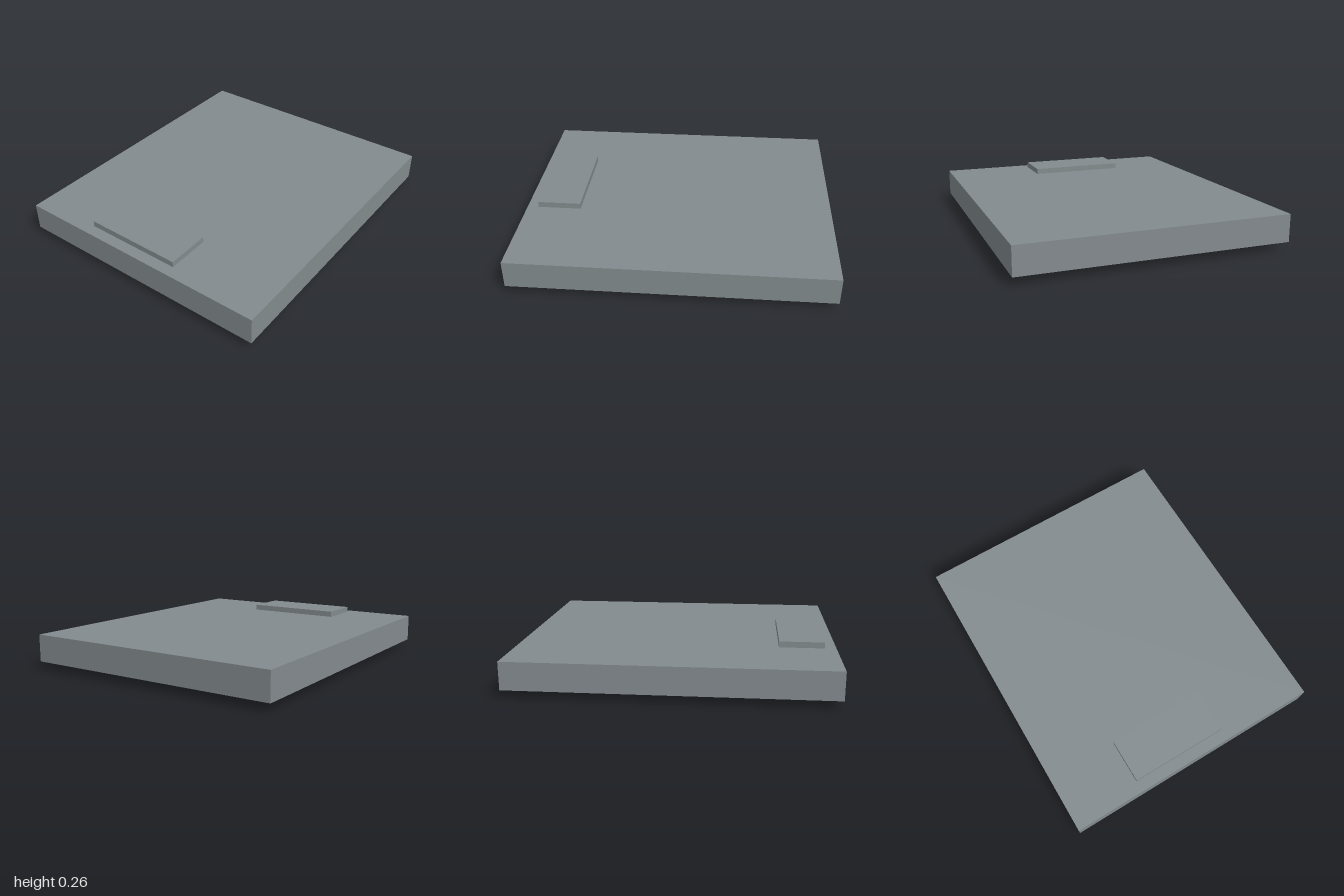
import * as THREE from 'three';

export function createModel() {
  const group = new THREE.Group();
  const grey = new THREE.MeshStandardMaterial({ color: 0x838b8e });
  grey.name = 'slate grey';

  // Box given by its extents along each axis
  function block(name, [x0, x1], [y0, y1], [z0, z1]) {
    const mesh = new THREE.Mesh(new THREE.BoxGeometry(x1 - x0, y1 - y0, z1 - z0), grey);
    mesh.position.set((x0 + x1) / 2, (y0 + y1) / 2, (z0 + z1) / 2);
    mesh.name = name;
    group.add(mesh);
  }

  // Main slab
  const bottom = 0.05, top = 0.226;
  block('slab', [-1, 1], [bottom, top], [-0.857, 0.857]);

  // Matching narrow pads above and below, near the -x edge
  const padX = [-0.927, -0.645], padZ = [-0.395, 0.248], padHeight = 0.038;
  block('upperPad', padX, [top, top + padHeight], padZ);
  block('lowerPad', padX, [bottom - padHeight, bottom], padZ);

  // Wide pad underneath
  block('basePad', [-0.073, 0.782], [0, bottom], [-0.428, 0.5]);

  return group;
}
